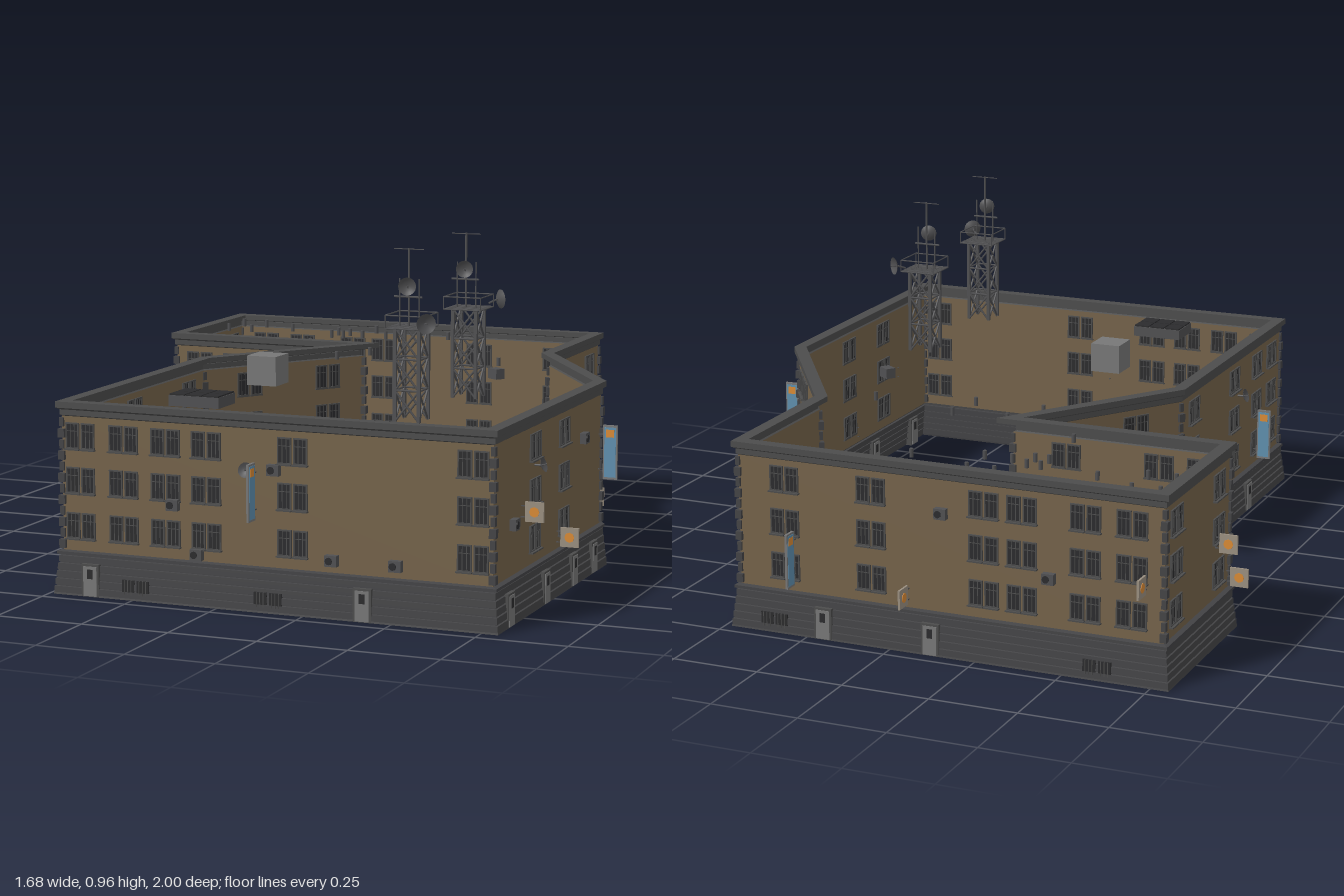
import * as THREE from 'three';

const mat = (color) => new THREE.MeshStandardMaterial({ color, side: THREE.DoubleSide });
const BROWN = mat(0x75634a), STONE = mat(0x444446), TRIM = mat(0x4c4c4c), DARK = mat(0x2b2b2d);
const METAL = mat(0x505052), GREY = mat(0x777777), BLUE = mat(0x5f8fae), ORANGE = mat(0xd98a35), TAN = mat(0x9a8f80);

// Plan of the wall line as [x, z]
const PLAN = [[-0.78, -0.94], [0.46, -0.94], [0.46, -0.45], [0.775, 0.03], [0.775, 0.935],
  [-0.465, 0.935], [-0.465, 0.03], [-0.14, -0.44], [-0.78, -0.44]];
const [BACK, BACK_RIGHT, RIGHT_DIAG, RIGHT, FRONT, LEFT, LEFT_DIAG, WING_FRONT, WING_LEFT] = PLAN.keys();
const N = PLAN.length;

const normalOf = (i) => {
  const a = PLAN[i % N], b = PLAN[(i + 1) % N];
  return new THREE.Vector2(b[1] - a[1], a[0] - b[0]).normalize();
};

// Plan corner pushed outwards with a mitre
function corner(i, offset) {
  const n1 = normalOf((i + N - 1) % N), n2 = normalOf(i % N);
  const k = offset / (1 + n1.dot(n2));
  return [PLAN[i % N][0] + (n1.x + n2.x) * k, PLAN[i % N][1] + (n1.y + n2.y) * k];
}

// Sweeps a profile of [offset, y] around the plan
function sweep(profile) {
  const pos = [];
  for (let i = 0; i < N; i++) {
    for (let k = 0; k + 1 < profile.length; k++) {
      const at = (c, p) => { const [x, z] = corner(c, p[0]); return [x, p[1], z]; };
      const A = at(i, profile[k]), B = at(i + 1, profile[k]);
      const C = at(i + 1, profile[k + 1]), D = at(i, profile[k + 1]);
      pos.push(...A, ...D, ...C, ...A, ...C, ...B);
    }
  }
  const g = new THREE.BufferGeometry();
  g.setAttribute('position', new THREE.Float32BufferAttribute(pos, 3));
  g.computeVertexNormals();
  return g;
}

function add(parent, name, geometry, material, x = 0, y = 0, z = 0) {
  const m = new THREE.Mesh(geometry, material);
  m.name = name;
  m.position.set(x, y, z);
  parent.add(m);
  return m;
}
const box = (p, name, w, h, d, m, x, y, z) => add(p, name, new THREE.BoxGeometry(w, h, d), m, x, y, z);

// Round bar between two points
function bar(parent, name, a, b, r = 0.003, m = METAL) {
  const va = new THREE.Vector3(...a), vb = new THREE.Vector3(...b), d = vb.clone().sub(va);
  const mesh = add(parent, name, new THREE.CylinderGeometry(r, r, d.length(), 6), m);
  mesh.position.copy(va).add(vb).multiplyScalar(0.5);
  mesh.quaternion.setFromUnitVectors(new THREE.Vector3(0, 1, 0), d.normalize());
}

// Group on wall i at world x (or z on walls along z); local +z faces outwards
function onWall(root, name, i, coord, y) {
  const a = PLAN[i], b = PLAN[(i + 1) % N], ax = Math.abs(b[0] - a[0]) > 0.5 ? 0 : 1;
  const t = (coord - a[ax]) / (b[ax] - a[ax]), n = normalOf(i);
  const g = new THREE.Group();
  g.name = name;
  g.position.set(a[0] + (b[0] - a[0]) * t, y, a[1] + (b[1] - a[1]) * t);
  g.rotation.y = Math.atan2(n.x, n.y);
  root.add(g);
  return g;
}

// Pair of framed windows, built through the wall
function windowPair(g) {
  for (const x of [-0.023, 0.023]) {
    box(g, 'windowGlass', 0.036, 0.066, 0.004, DARK, x, 0, 0);
    for (const s of [-1, 1]) {
      box(g, 'windowJamb', 0.004, 0.07, 0.01, TRIM, x + s * 0.018, 0, 0);
      box(g, 'windowRail', 0.04, 0.004, 0.01, TRIM, x, s * 0.034, 0);
      box(g, 'windowMullion', 0.002, 0.066, 0.007, TRIM, x + s * 0.006, 0, 0);
    }
    box(g, 'windowTransom', 0.036, 0.002, 0.007, TRIM, x, 0.013, 0);
    box(g, 'windowSill', 0.044, 0.004, 0.016, TRIM, x, -0.037, 0.004);
  }
}

function door(g) {
  box(g, 'doorFrame', 0.052, 0.09, 0.02, TRIM, 0, 0, 0.012);
  box(g, 'doorLeaf', 0.04, 0.082, 0.024, GREY, 0, -0.002, 0.012);
  box(g, 'doorPane', 0.016, 0.026, 0.026, DARK, 0, 0.018, 0.012);
}

function cellarWindow(g) {
  for (const x of [-0.022, 0.022]) {
    box(g, 'cellarWindow', 0.036, 0.04, 0.03, DARK, x, 0, 0.005);
    for (const dx of [-0.01, 0, 0.01]) box(g, 'cellarBar', 0.002, 0.04, 0.034, TRIM, x + dx, 0, 0.005);
  }
}

// Signs sticking out from the wall
function squareSign(g) {
  for (const y of [-0.015, 0.015]) box(g, 'signArm', 0.003, 0.003, 0.03, METAL, 0, y, 0.01);
  box(g, 'signPanel', 0.006, 0.054, 0.052, TAN, 0, 0, 0.038);
  const disc = add(g, 'signDisc', new THREE.CylinderGeometry(0.014, 0.014, 0.009, 8), ORANGE, 0, 0, 0.038);
  disc.rotation.z = Math.PI / 2;
}
function tallSign(g) {
  for (const y of [-0.05, 0.05]) box(g, 'signArm', 0.003, 0.003, 0.03, METAL, 0, y, 0.01);
  box(g, 'signFrame', 0.007, 0.155, 0.042, GREY, 0, 0, 0.036);
  box(g, 'signFace', 0.009, 0.143, 0.034, BLUE, 0, 0, 0.036);
  box(g, 'signBadge', 0.01, 0.022, 0.024, ORANGE, 0, 0.054, 0.036);
}

// Dish opening towards local +z
function dish(parent, r) {
  const pts = [0, 0.35, 0.7, 1].map((t) => new THREE.Vector2(t * r, t * t * r * 0.4));
  const m = add(parent, 'dishBowl', new THREE.LatheGeometry(pts, 16), METAL);
  m.rotation.x = Math.PI / 2;
  bar(parent, 'dishFeed', [0, 0, 0], [0, 0, r * 0.8], r * 0.06);
}
function wallDish(g) {
  bar(g, 'dishArm', [0, 0, 0], [0, 0, 0.018]);
  const d = new THREE.Group();
  d.position.z = 0.018;
  d.rotation.x = -0.3;
  g.add(d);
  dish(d, 0.021);
}
function airUnit(g) {
  box(g, 'airUnitCase', 0.034, 0.03, 0.018, METAL, 0, 0, 0.011);
  const fan = add(g, 'airUnitFan', new THREE.CylinderGeometry(0.01, 0.01, 0.003, 12), DARK, -0.005, 0, 0.021);
  fan.rotation.x = Math.PI / 2;
}

// Lattice tower with platform, mast and two dishes; side is the z side of the low dish
function tower(root, x, z, side) {
  const g = new THREE.Group();
  g.name = 'antennaTower';
  g.position.set(x, 0.5, z);
  root.add(g);
  const h = 0.034, top = 0.25, bays = 3, c = [[-h, -h], [h, -h], [h, h], [-h, h]];
  c.forEach(([ax, az], i) => {
    const [bx, bz] = c[(i + 1) % 4];
    box(g, 'towerLeg', 0.009, top, 0.009, METAL, ax, top / 2, az);
    for (let k = 0; k < bays; k++) {
      const y0 = k * top / bays, y1 = (k + 1) * top / bays;
      bar(g, 'towerBrace', [ax, y0, az], [bx, y1, bz]);
      bar(g, 'towerBrace', [ax, y1, az], [bx, y0, bz]);
      bar(g, 'towerRung', [ax, y1, az], [bx, y1, bz]);
    }
    const s = 0.054 / h;
    bar(g, 'railPost', [ax * s, top, az * s], [ax * s, top + 0.035, az * s], 0.0015);
    for (const y of [top, top + 0.035]) bar(g, 'platformRail', [ax * s, y, az * s], [bx * s, y, bz * s], 0.002);
  });
  for (let k = -4; k <= 4; k++) box(g, 'platformSlat', 0.108, 0.004, 0.005, METAL, 0, top, k * 0.012);
  bar(g, 'mast', [-0.008, top, 0], [-0.008, 0.46, 0], 0.003);
  bar(g, 'mastCrossbar', [-0.05, 0.457, 0], [0.034, 0.457, 0], 0.0015);
  bar(g, 'mastCrossbar', [-0.05, 0.33, 0], [0.03, 0.33, 0], 0.003);
  for (const dx of [-0.03, 0.025]) bar(g, 'whipAntenna', [dx, top, 0.01], [dx, 0.38, 0.01], 0.002);
  for (const [dx, dy, dz, r, turn] of [[-0.008, 0.36, 0.012, 0.024, 0.3],
    [0.062, 0.27, side * 0.065, 0.027, side > 0 ? 0.7 : 2.4]]) {
    const d = new THREE.Group();
    d.name = 'towerDish';
    d.position.set(dx, dy, dz);
    d.rotation.y = turn;
    g.add(d);
    dish(d, r);
    bar(g, 'dishArm', [dx, dy, dz], [dx * 0.7, dy - 0.01, dz * 0.7]);
  }
}

export function createModel() {
  const root = new THREE.Group();
  root.name = 'building';

  // Coursed stone base, plain wall and cornice with parapet top
  const base = [[0.022, 0]];
  for (let k = 0; k < 5; k++) {
    const y = 0.005 + k * 0.021, o = 0.021 - k * 0.0025;
    base.push([o, y], [o - 0.001, y + 0.017], [o - 0.006, y + 0.018], [o - 0.006, y + 0.021]);
  }
  base.push([0.014, 0.11], [0.014, 0.118], [0, 0.121]);
  add(root, 'stoneBase', sweep(base), STONE);
  add(root, 'wall', sweep([[0, 0.121], [0, 0.49]]), BROWN);
  add(root, 'cornice', sweep([[0, 0.49], [0.005, 0.493], [0.005, 0.508], [0.014, 0.513], [0.014, 0.53],
    [-0.022, 0.53], [-0.022, 0.515], [0, 0.51]]), TRIM);

  // Corner quoins
  PLAN.forEach((p, i) => {
    const n = normalOf(i);
    for (let k = 0; k < 12; k++) {
      const s = k % 2 ? 0.013 : 0.019;
      const q = box(root, 'quoin', s, 0.024, s, STONE, p[0], 0.138 + k * 0.0305, p[1]);
      q.rotation.y = Math.atan2(n.x, n.y);
    }
  });

  // Window columns, three floors each
  const columns = [[FRONT, [-0.41, -0.28, -0.155, -0.035, 0.215, 0.72]], [WING_FRONT, [-0.7, -0.575, -0.3]],
    [RIGHT, [0.61, 0.365]], [RIGHT_DIAG, [-0.05, -0.135]], [BACK_RIGHT, [-0.845]],
    [BACK, [-0.69, -0.56, -0.38, -0.27, 0.06, 0.32]], [WING_LEFT, [-0.86, -0.53]],
    [LEFT, [0.85, 0.71, 0.5, 0.14]], [LEFT_DIAG, [-0.1, -0.33]]];
  for (const [wall, list] of columns)
    for (const c of list)
      for (const y of [0.19, 0.315, 0.437]) windowPair(onWall(root, 'windows', wall, c, y));

  // Fittings as [builder, name, wall, coordinate, height]
  const fittings = [
    ...[[FRONT, -0.375], [FRONT, 0.42], [RIGHT, 0.85], [RIGHT, 0.56], [RIGHT, 0.32], [RIGHT, 0.14],
      [RIGHT_DIAG, -0.12], [BACK_RIGHT, -0.65], [BACK, -0.12], [BACK, 0.2], [LEFT, 0.6]].map((a) => [door, 'door', ...a, 0.045]),
    ...[[WING_FRONT, -0.55], [FRONT, -0.24], [FRONT, 0.15], [BACK, -0.6], [BACK, 0.35],
      [LEFT, 0.3]].map((a) => [cellarWindow, 'cellarWindows', ...a, 0.035]),
    ...[[WING_LEFT, -0.55, 0.28], [WING_LEFT, -0.455, 0.155], [RIGHT, 0.72, 0.28], [RIGHT, 0.42, 0.155],
      [RIGHT_DIAG, -0.36, 0.28], [RIGHT_DIAG, -0.12, 0.16], [LEFT, 0.04, 0.28], [BACK, -0.73, 0.28],
      [BACK, -0.05, 0.16], [WING_FRONT, -0.36, 0.28]].map((a) => [squareSign, 'squareSign', ...a]),
    ...[[LEFT, 0.69, 0.22], [RIGHT, 0.05, 0.33], [FRONT, 0.11, 0.325], [BACK, 0.29, 0.22],
      [BACK_RIGHT, -0.69, 0.33]].map((a) => [tallSign, 'tallSign', ...a]),
    ...[[WING_FRONT, -0.71, 0.25], [WING_FRONT, -0.585, 0.12], [FRONT, 0.09, 0.38], [RIGHT, 0.61, 0.385],
      [LEFT, 0.54, 0.38], [LEFT_DIAG, -0.21, 0.3]].map((a) => [wallDish, 'wallDish', ...a]),
    ...[[FRONT, 0.165, 0.385], [FRONT, -0.13, 0.27], [FRONT, -0.06, 0.14], [FRONT, 0.33, 0.155],
      [FRONT, 0.51, 0.155], [RIGHT, 0.8, 0.26], [RIGHT, 0.21, 0.395], [RIGHT_DIAG, -0.26, 0.39],
      [BACK, -0.46, 0.26], [BACK, -0.15, 0.4], [LEFT_DIAG, -0.19, 0.4]].map((a) => [airUnit, 'airUnit', ...a])];
  for (const [build, name, ...place] of fittings) build(onWall(root, name, ...place));

  // Roof equipment
  tower(root, 0.46, 0.265, -1);
  tower(root, 0.46, 0.705, 1);
  box(root, 'roofBox', 0.09, 0.085, 0.09, GREY, -0.155, 0.543, 0.26);
  box(root, 'skylightCurb', 0.15, 0.03, 0.11, METAL, -0.155, 0.52, 0.705);
  for (const x of [-0.05, 0, 0.05])
    for (const z of [-0.027, 0.027]) box(root, 'skylightPane', 0.046, 0.006, 0.05, DARK, -0.155 + x, 0.536, 0.705 + z);
  box(root, 'roofUnit', 0.04, 0.03, 0.03, METAL, 0.42, 0.515, -0.085).rotation.y = -0.6;

  // Roof vents
  const vents = [[-0.54, -0.81], [0, -0.81], [-0.35, -0.51], [-0.1, -0.39], [0.07, -0.39], [-0.16, -0.27],
    [0.05, -0.27], [0.34, -0.33]];
  for (const x of [-0.74, -0.66, -0.27, -0.19]) vents.push([x, -0.87], [x, -0.75]);
  for (const x of [-0.365, -0.325]) vents.push([x, -0.78], [x, -0.72]);
  for (const [x, z] of vents) bar(root, 'roofVent', [x, 0.5, z], [x, 0.525, z], 0.006);
  return root;
}
